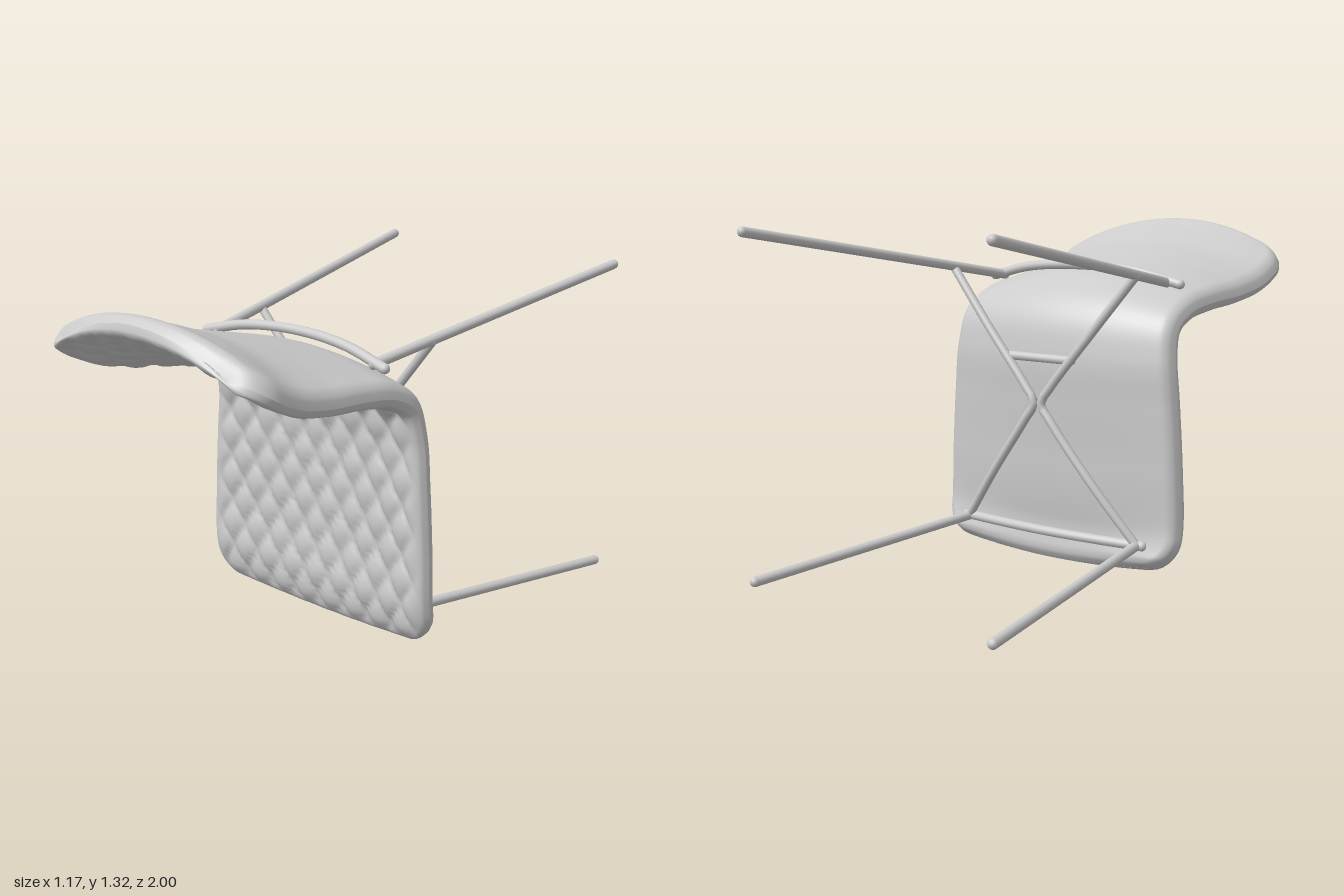
import * as THREE from 'three';

const grey = new THREE.MeshStandardMaterial({ color: 0xcccccc });
const RADIUS = 0.019;

// Side profile of the shell's rim as (z, y), from seat front to top of the backrest
const profile = new THREE.CatmullRomCurve3([
  [0.045, 0.01], [0.08, 0.06], [0.115, 0.16], [0.12, 0.4], [0.12, 0.65], [0.122, 0.82], [0.155, 0.935],
  [0.26, 0.995], [0.41, 1.02], [0.6, 1.037], [0.76, 1.072], [0.9, 1.145], [1.03, 1.24],
].map(([z, y]) => new THREE.Vector3(0, y, z)));
const LENGTH = profile.getLength();

// Half width, bulge of the back and bulge of the cushion at even steps along the profile
const section = new THREE.CatmullRomCurve3([
  [0.555, 0, 0], [0.56, 0.05, 0.03], [0.55, 0.06, 0.035], [0.533, 0.068, 0.035], [0.512, 0.07, 0.025],
  [0.512, 0.092, 0.045], [0.523, 0.125, 0.09], [0.535, 0.125, 0.11], [0.525, 0.075, 0.075],
].map((p) => new THREE.Vector3(...p)), false, 'catmullrom');

// Quarter-circle rise from 0 at the edge to 1 at distance r
const roundOff = (d, r) => Math.sqrt(Math.max(0, 1 - (1 - Math.min(d / r, 1)) ** 2));

// Point on the quilted front (side = -1) or smooth back (side = 1); u in -1..1, k in 0..1
function shellPoint(u, k, side) {
  const startInset = 0.03 * u * u, endInset = 0.09 * u * u;
  const run = LENGTH - startInset - endInset;
  const s = startInset + k * run;
  const t = s / LENGTH;
  const { x: width, y: backBulge, z: frontBulge } = section.getPoint(t);
  const endDistance = Math.min(k, 1 - k) * run;
  const half = width - 0.12 * (1 - roundOff(endDistance, 0.13));
  const x = u * half;
  const sideDistance = (1 - Math.abs(u)) * half;
  const edge = roundOff(sideDistance, 0.045) * roundOff(endDistance, 0.045);
  let thick = 0.045;
  if (side < 0) {
    // Diamond quilting that fades out towards the rim
    const a = x / 0.127, b = s / 0.19;
    const diamond = Math.abs(Math.cos(Math.PI * (a + b)) * Math.cos(Math.PI * (a - b)));
    const fade = THREE.MathUtils.smoothstep(Math.min(sideDistance, endDistance), 0.01, 0.09);
    thick = 0.042 + 0.022 * fade * (Math.sqrt(diamond) - 0.4);
  }
  const offset = (side < 0 ? frontBulge : backBulge) * (1 - u * u) + side * thick * edge;
  const p = profile.getPointAt(t), d = profile.getTangentAt(t);
  return [x, p.y + d.z * offset, p.z - d.y * offset];
}

function shellSheet(name, side) {
  const cols = 80, rows = 150, pos = [], index = [];
  for (let j = 0; j <= rows; j++) {
    const q = j / rows;
    const k = 0.6 * q + 0.4 * (0.5 - 0.5 * Math.cos(Math.PI * q));
    for (let i = 0; i <= cols; i++) {
      const c = (i / cols) * 2 - 1;
      const u = 0.5 * c + 0.5 * Math.sin(c * Math.PI / 2);
      pos.push(...shellPoint(u, k, side));
      if (i < cols && j < rows) {
        const a = j * (cols + 1) + i, b = a + 1, e = a + cols + 1, f = e + 1;
        if (side < 0) index.push(a, b, e, b, f, e);
        else index.push(a, e, b, b, e, f);
      }
    }
  }
  const geo = new THREE.BufferGeometry();
  geo.setAttribute('position', new THREE.Float32BufferAttribute(pos, 3));
  geo.setIndex(index);
  geo.computeVertexNormals();
  const mesh = new THREE.Mesh(geo, grey);
  mesh.name = name;
  return mesh;
}

// Round rod with domed ends through a few points
function rod(name, points, radius = RADIUS) {
  const group = new THREE.Group();
  group.name = name;
  const pts = points.map((p) => new THREE.Vector3(...p));
  const straight = pts.length === 2;
  const path = straight ? new THREE.LineCurve3(...pts) : new THREE.CatmullRomCurve3(pts);
  group.add(new THREE.Mesh(new THREE.TubeGeometry(path, straight ? 1 : 40, radius, 12), grey));
  for (const p of [pts[0], pts[pts.length - 1]]) {
    const end = new THREE.Mesh(new THREE.SphereGeometry(radius, 12, 8), grey);
    end.position.copy(p);
    group.add(end);
  }
  return group;
}

export function createModel() {
  const chair = new THREE.Group();
  chair.name = 'chair';

  // Upholstered shell
  chair.add(shellSheet('quiltedCushion', -1), shellSheet('shellBack', 1));

  // Legs and bent braces, mirrored; the braces touch at the middle
  for (const [side, m] of [['left', 1], ['right', -1]]) {
    chair.add(rod(side + 'RearLeg', [[m * 0.395, 1.1, 0.25], [m * 0.567, 1.304, -0.985]]));
    chair.add(rod(side + 'FrontLeg', [[m * 0.41, 0.122, 0.04], [m * 0.56, 0.045, -0.985]]));
    chair.add(rod(side + 'Brace', [
      [m * 0.435, 1.14, -0.02], [m * 0.24, 0.91, -0.035], [m * 0.06, 0.7, -0.04], [m * 0.017, 0.635, -0.04],
      [m * 0.06, 0.57, -0.038], [m * 0.24, 0.34, -0.012], [m * 0.41, 0.125, 0.035],
    ], 0.017));
  }

  // Crossbars following the curve of the shell
  chair.add(rod('rearCrossbar', [[-0.45, 1.095, 0.255], [-0.25, 1.14, 0.235], [0, 1.155, 0.222], [0.25, 1.14, 0.235], [0.45, 1.095, 0.255]]));
  chair.add(rod('frontCrossbar', [[-0.43, 0.122, 0.045], [-0.22, 0.122, 0.025], [0, 0.122, 0.015], [0.22, 0.122, 0.025], [0.43, 0.122, 0.045]]));
  chair.add(rod('middleCrossbar', [[-0.15, 0.81, -0.025], [0.15, 0.81, -0.025]], 0.017));

  return chair;
}
